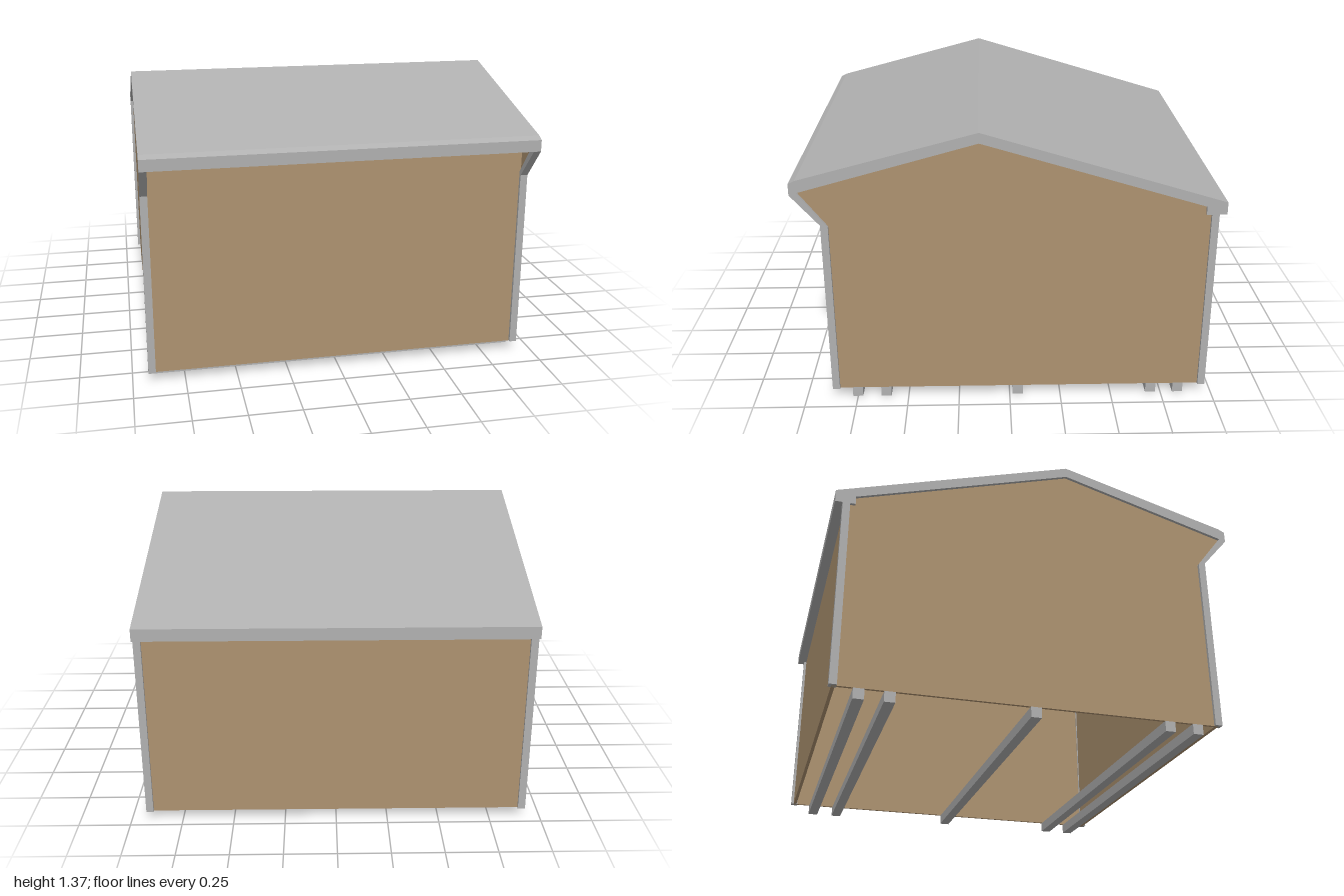
import * as THREE from 'three';

const metal = new THREE.MeshStandardMaterial({ color: 0xb0b0b0 });
metal.name = 'grey metal';
const panel = new THREE.MeshStandardMaterial({ color: 0xad9270 });
panel.name = 'tan panel';

// Extrude a side profile of [z, y] points along x, centred on cx
function slab(name, points, width, cx, material) {
  const shape = new THREE.Shape(points.map(([z, y]) => new THREE.Vector2(z, y)));
  const geo = new THREE.ExtrudeGeometry(shape, { depth: width, bevelEnabled: false });
  geo.translate(0, 0, -width / 2).rotateY(-Math.PI / 2).translate(cx, 0, 0);
  const mesh = new THREE.Mesh(geo, material);
  mesh.name = name;
  return mesh;
}

// Box given by its minimum and maximum corners
function block(name, [x0, y0, z0], [x1, y1, z1], material) {
  const geo = new THREE.BoxGeometry(x1 - x0, y1 - y0, z1 - z0);
  geo.translate((x0 + x1) / 2, (y0 + y1) / 2, (z0 + z1) / 2);
  const mesh = new THREE.Mesh(geo, material);
  mesh.name = name;
  return mesh;
}

export function createModel() {
  const model = new THREE.Group();
  model.name = 'shed';

  // Gabled roof with front and rear fascias
  model.add(slab('roof', [
    [0.14, 1.37], [-1, 1.025], [-1, 0.965], [-0.905, 0.965], [-0.905, 1.005],
    [0.14, 1.32], [0.97, 1.09], [0.98, 1.08], [1, 1.08], [1, 1.135], [0.97, 1.15],
  ], 1.85, 0, metal));

  // Front and rear walls
  model.add(block('frontWall', [-0.9, 0.05, 0.84], [0.9, 1.13, 0.856], panel));
  model.add(block('rearWall', [-0.9, 0.05, -0.952], [0.9, 0.99, -0.936], panel));

  for (const [side, s] of [['left', 1], ['right', -1]]) {
    // Side wall, reaching forward under the eave
    model.add(slab(side + 'Wall', [
      [0.855, 0.05], [0.855, 0.925], [0.98, 1.085], [0.965, 1.095],
      [0.14, 1.325], [-0.95, 0.995], [-0.95, 0.05],
    ], 0.014, s * 0.903, panel));

    // Corner posts and slanted eave trim
    const cx = s * 0.9075;
    model.add(slab(side + 'FrontPost',
      [[0.87, 0.05], [0.87, 0.93], [0.835, 0.92], [0.835, 0.05]], 0.035, cx, metal));
    model.add(slab(side + 'RearPost',
      [[-0.93, 0.05], [-0.93, 0.975], [-0.965, 0.975], [-0.965, 0.05]], 0.035, cx, metal));
    model.add(slab(side + 'EaveTrim',
      [[0.87, 0.93], [1, 1.08], [0.97, 1.095], [0.835, 0.92]], 0.035, cx, metal));

    // Inner corner gusset below the roof
    model.add(slab(side + 'Gusset',
      [[0.84, 0.91], [0.84, 1.13], [0.59, 1.2]], 0.008, s * 0.89, metal));
  }

  // Floor joists
  for (const z of [0.75, 0.61, -0.04, -0.7, -0.835]) {
    model.add(block('floorJoist', [-0.91, 0, z - 0.025], [0.91, 0.05, z + 0.025], metal));
  }

  return model;
}
